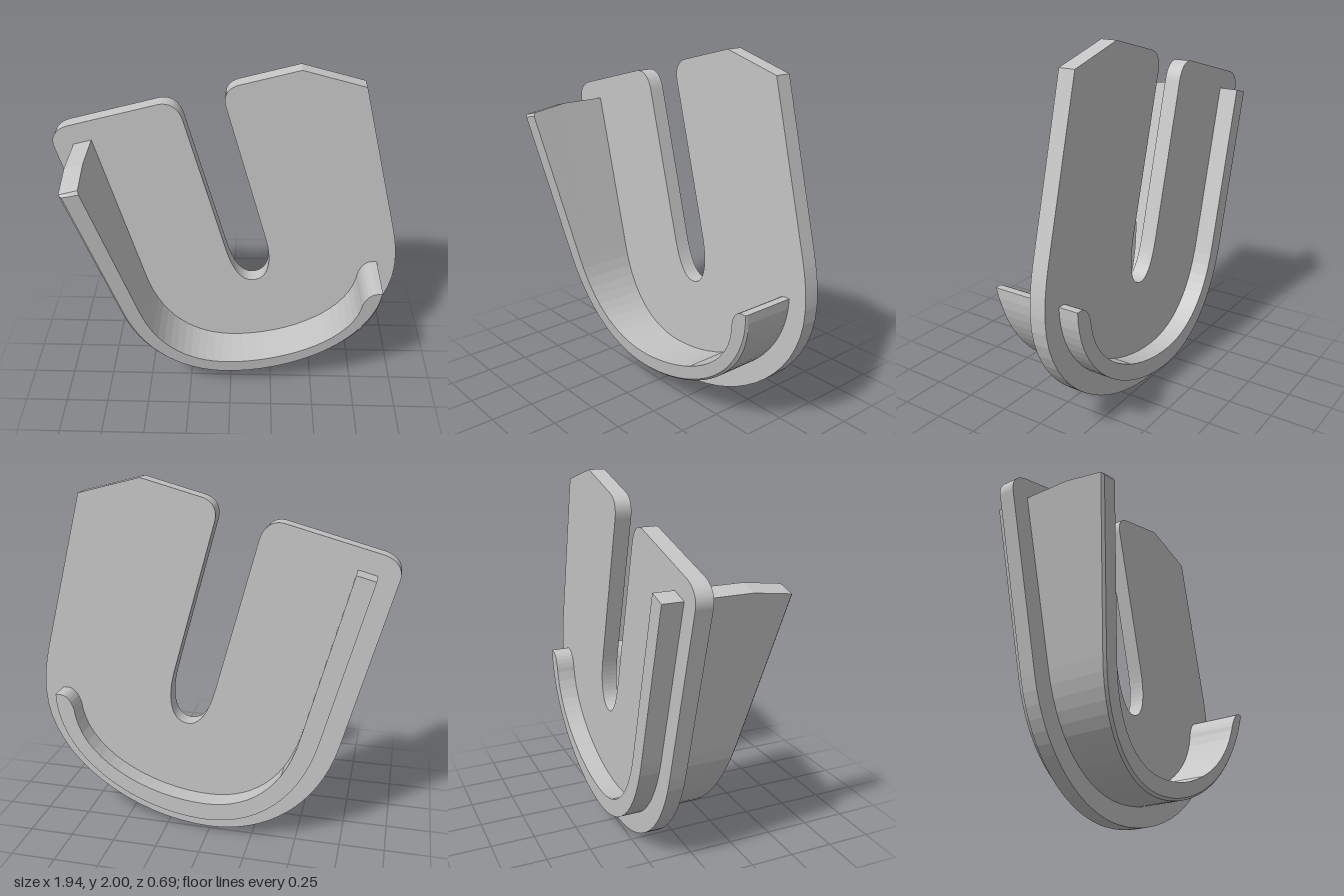
import * as THREE from 'three';

const PLATE_BACK = -0.235, PLATE_DEPTH = 0.09, RIM_BACK = -0.345;

// Sloping plane that trims the front edge of the rim
const frontZ = (x, y) => 0.0823 - 0.0417 * x + 0.1476 * y;

const v = (x, y) => new THREE.Vector2(x, y);
const bezier = (a, b, c, d, n) =>
  new THREE.CubicBezierCurve(v(...a), v(...b), v(...c), v(...d)).getPoints(n);

// Flat plate with a slanted U slot
function plateGeometry() {
  const s = new THREE.Shape();
  s.moveTo(-0.967, 1.54);
  s.lineTo(-0.72, 0.6);
  s.bezierCurveTo(-0.62, 0.22, -0.33, 0, 0, 0);
  s.bezierCurveTo(0.47, 0, 0.968, 0.34, 0.968, 0.77);
  s.bezierCurveTo(0.968, 0.88, 0.95, 0.97, 0.92, 1.08);
  s.lineTo(0.7, 1.91);
  s.lineTo(0.36, 2);
  s.lineTo(0.04, 1.915);
  s.bezierCurveTo(-0.015, 1.9, -0.048, 1.86, -0.03, 1.79);
  s.lineTo(0.2, 0.95);
  s.bezierCurveTo(0.25, 0.76, 0.21, 0.65, 0.12, 0.65);
  s.bezierCurveTo(0.06, 0.65, 0.01, 0.72, -0.03, 0.86);
  s.lineTo(-0.26, 1.71);
  s.bezierCurveTo(-0.28, 1.78, -0.33, 1.815, -0.39, 1.8);
  s.lineTo(-0.88, 1.67);
  s.bezierCurveTo(-0.95, 1.65, -0.985, 1.6, -0.967, 1.54);
  return new THREE.ExtrudeGeometry(s, { depth: PLATE_DEPTH, bevelEnabled: false, curveSegments: 16 });
}

// Curved rim, lofted through eight-point sections along its outer and inner paths
function rimGeometry() {
  const outer = [
    v(-0.86, 1.56),
    ...bezier([-0.62, 0.66], [-0.53, 0.32], [-0.3, 0.114], [0, 0.114], 14),
    ...bezier([0, 0.114], [0.4, 0.114], [0.86, 0.4], [0.86, 0.8], 22).slice(1),
  ];
  const inner = [
    v(-0.76, 1.587),
    ...bezier([-0.52, 0.68], [-0.44, 0.36], [-0.24, 0.215], [0, 0.215], 14),
    ...bezier([0, 0.215], [0.33, 0.215], [0.7, 0.4], [0.75, 0.68], 15).slice(1),
    ...bezier([0.75, 0.68], [0.755, 0.75], [0.79, 0.8], [0.83, 0.8], 7).slice(1),
  ];

  const rings = outer.map((o, i) => {
    const n = inner[i];
    // The tall end slopes down along the path towards the front
    const point = (p, drop, inset) => {
      const d = i === 0 ? drop : 0;
      const x = p.x + 0.26 * d, y = p.y - 0.966 * d;
      return [x, y, frontZ(x, y) - inset];
    };
    const mid = (p) => [p.x, p.y, Math.min(0.12, frontZ(p.x, p.y) - 0.025)];
    return [
      [o.x, o.y, RIM_BACK],
      mid(o),
      point(o, 0.03, 0.013),
      point(o.clone().lerp(n, 0.13), 0.045, 0),
      point(n, 0.05, 0),
      point(n, 0.03, 0.013),
      mid(n),
      [n.x, n.y, RIM_BACK],
    ];
  });

  const pos = [];
  const quad = (a, b, c, d) => pos.push(...a, ...b, ...c, ...a, ...c, ...d);
  const count = rings[0].length;
  for (let i = 0; i < rings.length - 1; i++) {
    for (let j = 0; j < count; j++) {
      const k = (j + 1) % count;
      quad(rings[i][j], rings[i + 1][j], rings[i + 1][k], rings[i][k]);
    }
  }
  // End caps, in strips from back to front
  const first = rings[0], last = rings[rings.length - 1];
  for (let j = 0; j < 3; j++) {
    quad(first[j], first[j + 1], first[6 - j], first[7 - j]);
    quad(last[7 - j], last[6 - j], last[j + 1], last[j]);
  }

  const g = new THREE.BufferGeometry();
  g.setAttribute('position', new THREE.Float32BufferAttribute(pos, 3));
  g.computeVertexNormals();
  return g;
}

export function createModel() {
  const group = new THREE.Group();
  group.name = 'slottedBracket';
  const grey = new THREE.MeshStandardMaterial({ color: 0xc5c5c5 });
  grey.name = 'lightGrey';

  const plate = new THREE.Mesh(plateGeometry(), grey);
  plate.name = 'slottedPlate';
  plate.position.z = PLATE_BACK;
  group.add(plate);

  const rim = new THREE.Mesh(rimGeometry(), grey);
  rim.name = 'curvedRim';
  group.add(rim);

  return group;
}
